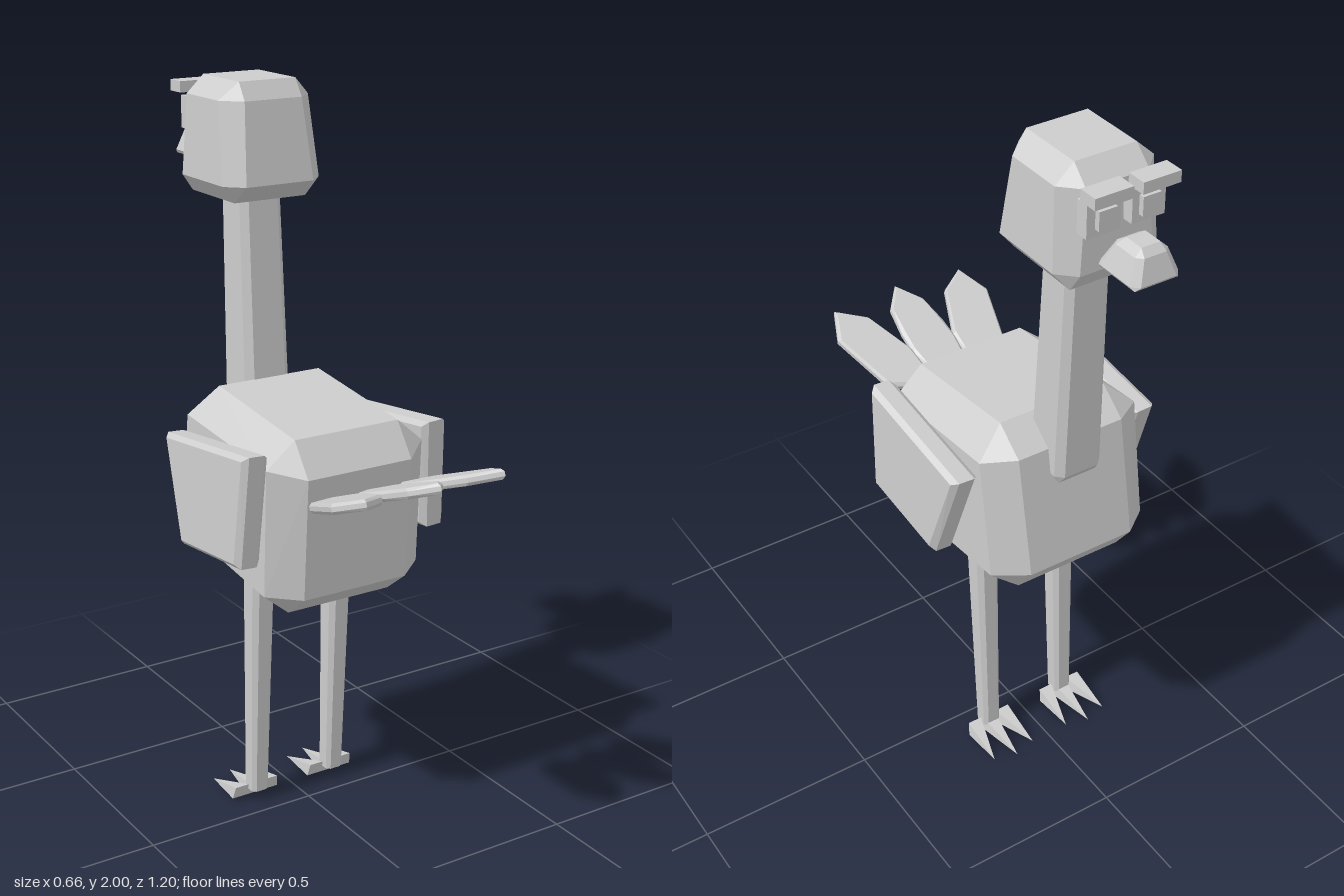
import * as THREE from 'three';
import { ConvexGeometry } from 'three/addons/geometries/ConvexGeometry.js';

const V = (x, y, z) => new THREE.Vector3(x, y, z);

// Rectangle ring at height y with cut corners (c = 0 gives four plain corners).
function ring(y, hx, z0, z1, c = 0, cx = 0) {
  const pts = [];
  for (const sx of [-1, 1]) {
    for (const [z, d] of [[z0, 1], [z1, -1]]) {
      pts.push(V(cx + sx * (hx - c), y, z));
      if (c) pts.push(V(cx + sx * hx, y, z + d * c));
    }
  }
  return pts;
}

// Bevelled plate around a convex outline: full outline mid-way, inset faces outside.
function slab(outline, thickness, bevel, inset) {
  const n = outline[1].clone().sub(outline[0])
    .cross(outline[2].clone().sub(outline[0])).normalize();
  const centre = outline.reduce((a, p) => a.add(p), V(0, 0, 0)).divideScalar(outline.length);
  const pts = [];
  for (const s of [-1, 1]) {
    for (const p of outline) {
      const toCentre = centre.clone().sub(p).setLength(inset);
      pts.push(p.clone().addScaledVector(n, s * (thickness / 2 - bevel)));
      pts.push(p.clone().add(toCentre).addScaledVector(n, s * thickness / 2));
    }
  }
  return pts;
}

export function createModel() {
  const model = new THREE.Group();
  model.name = 'longLeggedBird';
  const grey = new THREE.MeshStandardMaterial({ color: 0xcccccc });
  grey.name = 'grey';

  const add = (name, geometry, parent = model) => {
    const mesh = new THREE.Mesh(geometry, grey);
    mesh.name = name;
    parent.add(mesh);
    return mesh;
  };
  const hull = (name, pts, parent) => add(name, new ConvexGeometry(pts), parent);
  const box = (name, x0, x1, y0, y1, z0, z1) => {
    const mesh = add(name, new THREE.BoxGeometry(x1 - x0, y1 - y0, z1 - z0));
    mesh.position.set((x0 + x1) / 2, (y0 + y1) / 2, (z0 + z1) / 2);
  };

  // Body: tilted block with cut edges, profile as [z, y]
  const profile = [[0.185, 1.155], [-0.2, 1.2], [-0.285, 1.135], [-0.345, 0.8],
    [-0.285, 0.72], [0.15, 0.667], [0.23, 0.73], [0.25, 1.065]];
  const flank = [[0.18, 1.085], [-0.23, 1.125], [-0.28, 0.79], [0.165, 0.735]];
  const bodyPts = [];
  for (const s of [-1, 1]) {
    for (const [z, y] of profile) bodyPts.push(V(s * 0.158, y, z));
    for (const [z, y] of flank) bodyPts.push(V(s * 0.24, y, z));
  }
  hull('body', bodyPts);

  // Neck and head
  hull('neck', [
    ...ring(1.75, 0.062, -0.352, -0.23, 0.018),
    ...ring(1.065, 0.07, -0.333, -0.19, 0.02),
    ...ring(1.04, 0.055, -0.315, -0.21),
  ]);
  hull('head', [
    ...ring(2.0, 0.085, -0.388, -0.2),
    ...ring(1.953, 0.136, -0.437, -0.17, 0.05),
    ...ring(1.738, 0.147, -0.445, -0.138, 0.045),
    ...ring(1.69, 0.108, -0.415, -0.19),
  ]);

  // Beak
  hull('beak', [
    ...ring(1.85, 0.026, -0.565, -0.51),
    ...ring(1.832, 0.045, -0.583, -0.482, 0.015),
    ...ring(1.772, 0.067, -0.6, -0.45, 0.018),
    ...ring(1.762, 0.06, -0.592, -0.455),
  ]);

  for (const s of [-1, 1]) {
    const side = s > 0 ? 'left' : 'right';
    const span = (a, b) => (s > 0 ? [a, b] : [-b, -a]);

    // Eyes, pupils and brows
    box(side + 'Eye', ...span(0.016, 0.108), 1.85, 1.937, -0.472, -0.435);
    box(side + 'Pupil', ...span(0.035, 0.085), 1.87, 1.92, -0.487, -0.47);
    box(side + 'Brow', ...span(0.013, 0.117), 1.945, 1.975, -0.513, -0.458);

    // Wing: plate leaning outwards, corners as [z, y]
    const wing = [[0.195, 1.135], [-0.23, 1.085], [-0.13, 0.8], [0.175, 0.83]]
      .map(([z, y]) => V(s * (0.275 + (1.13 - y) * 0.05), y, z));
    hull(side + 'Wing', slab(wing, 0.075, 0.015, 0.02));

    // Leg
    const cx = s * 0.125;
    hull(side + 'Leg', [
      ...ring(0.78, 0.035, -0.092, -0.015, 0.015, cx),
      ...ring(0.03, 0.026, -0.107, -0.053, 0.01, cx),
    ]);

    // Foot: three pointed toes
    const foot = new THREE.Group();
    foot.name = side + 'Foot';
    foot.position.x = cx;
    model.add(foot);
    for (const t of [-1, 0, 1]) {
      const x = t * 0.047;
      hull('toe', [V(x - 0.026, 0.008, -0.09), V(x + 0.026, 0.008, -0.09),
        V(x - 0.021, 0.045, -0.08), V(x + 0.021, 0.045, -0.08),
        V(x, 0, -0.105), V(t * 0.066, 0.012, t ? -0.215 : -0.235)], foot);
    }
  }

  // Tail: three feathers on one rising plane, outlines as [x, z]
  const middle = [[0, 0.278], [-0.06, 0.322], [-0.07, 0.38], [-0.067, 0.445], [-0.053, 0.53],
    [0, 0.595], [0.053, 0.53], [0.067, 0.445], [0.07, 0.38], [0.06, 0.322]];
  const outer = [[0.105, 0.277], [0.19, 0.305], [0.245, 0.49], [0.205, 0.58],
    [0.127, 0.53], [0.067, 0.39], [0.066, 0.325]];
  const feather = (name, pts, s) => hull(name, slab(
    pts.map(([x, z]) => V(s * x, 1.01 + (z - 0.29) * 0.365, z)), 0.028, 0.008, 0.01));
  feather('middleTailFeather', middle, 1);
  feather('leftTailFeather', outer, 1);
  feather('rightTailFeather', outer, -1);

  return model;
}
